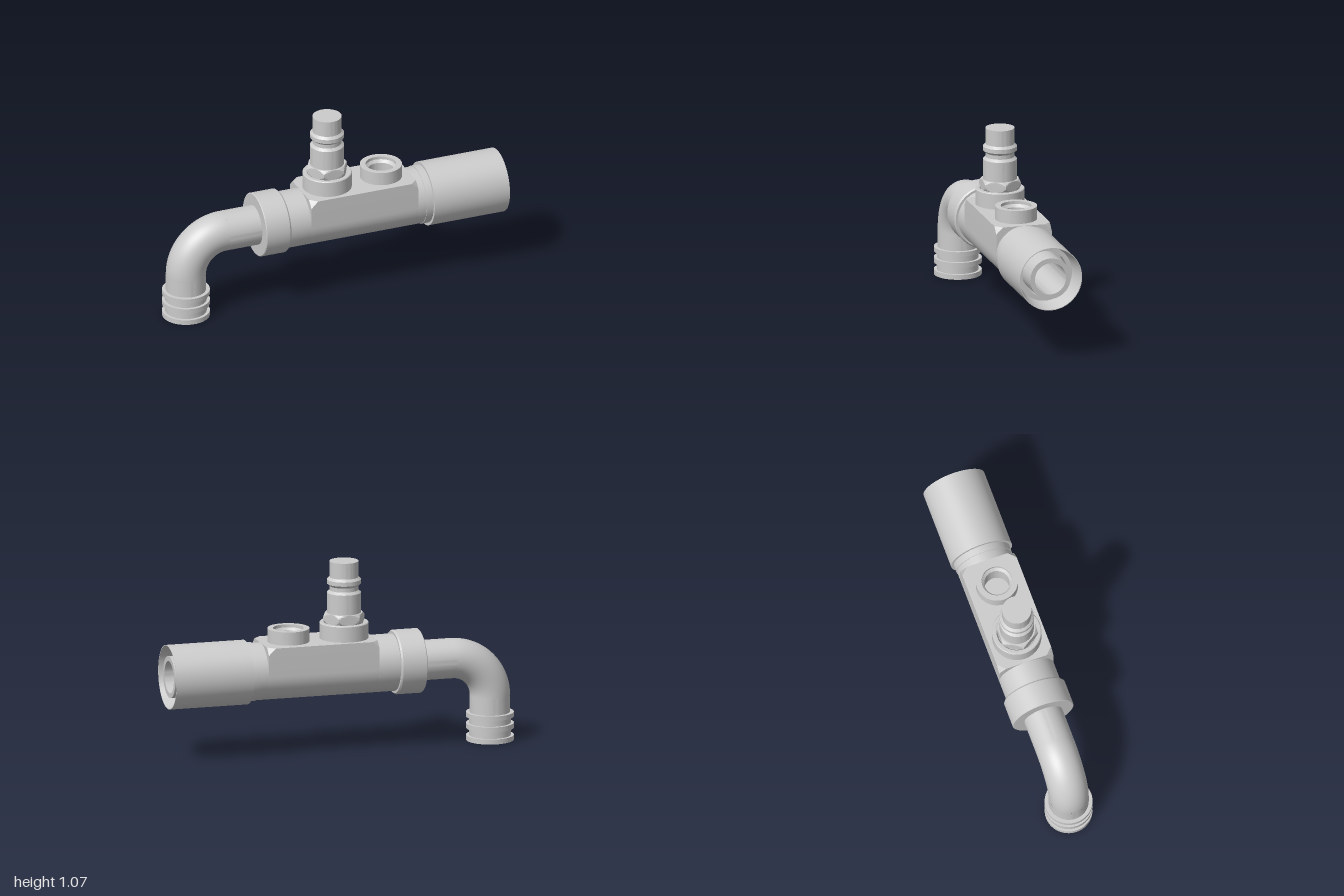
import * as THREE from 'three';
import { toCreasedNormals } from 'three/addons/utils/BufferGeometryUtils.js';

const AXIS = 0.477; // height of the main bore
const BORE = 0.09;
const HALF = 0.16; // half width of the valve body

const grey = new THREE.MeshStandardMaterial({ color: 0xcccccc });
const greyInside = new THREE.MeshStandardMaterial({ color: 0xcccccc, side: THREE.BackSide });

export function createModel() {
  const model = new THREE.Group();

  const add = (name, geometry, x = 0, y = 0, material = grey) => {
    const mesh = new THREE.Mesh(geometry, material);
    mesh.name = name;
    mesh.position.set(x, y, 0);
    model.add(mesh);
    return mesh;
  };
  // Profile of [radius, height] pairs, turned about the y axis
  const turned = (profile, segments = 72) =>
    new THREE.LatheGeometry(profile.map(([r, h]) => new THREE.Vector2(r, h)), segments);
  const lathe = (name, profile, x, y) => add(name, toCreasedNormals(turned(profile), 0.5), x, y);
  const latheAlongX = (name, profile) => {
    lathe(name, profile, 0, AXIS).rotation.z = -Math.PI / 2;
  };

  // Inlet pipe running into the stepped collar
  latheAlongX('inletCollar', [
    [0.112, -0.645], [0.112, -0.455], [0.176, -0.455], [0.18, -0.451],
    [0.18, -0.314], [0.173, -0.305], [HALF, -0.305], [HALF, -0.18],
  ]);

  // Outlet sleeve with an inner tube, continuing into the through bore
  latheAlongX('outletSleeve', [
    [HALF, 0.46], [HALF, 0.51], [0.164, 0.51], [0.164, 0.55], [0.18, 0.55], [0.18, 1],
    [0.176, 1], [0.156, 0.88], [0.13, 0.88], [0.13, 0.8], [0.117, 0.8],
    [0.117, 0.99], [BORE, 0.99], [BORE, -0.645],
  ]);

  // Quarter bend, outer skin and bore
  for (const [name, radius, material] of [['elbow', 0.112, grey], ['elbowBore', BORE, greyInside]]) {
    const bend = new THREE.TorusGeometry(0.222, radius, 48, 36, Math.PI / 2);
    add(name, bend.rotateZ(Math.PI / 2), -0.645, 0.255, material);
  }

  // Ribbed spout end
  lathe('ribbedSpout', [
    [BORE, 0.255], [BORE, 0], [0.133, 0], [0.133, 0.028], [0.116, 0.028], [0.116, 0.068],
    [0.133, 0.068], [0.133, 0.097], [0.116, 0.097], [0.116, 0.133],
    [0.133, 0.133], [0.133, 0.159], [0.112, 0.159], [0.112, 0.255],
  ], -0.867, 0);

  addBody(add);

  // Open boss with a countersunk well
  lathe('openBoss', [
    [0.117, 0.63], [0.117, 0.712], [0.085, 0.712], [0.085, 0.695], [0.07, 0.68], [0.07, 0.57], [0, 0.57],
  ], 0.3, 0);

  // Boss holding the plug-in nipple
  lathe('nippleBoss', [
    [0.137, 0.63], [0.137, 0.724], [0.133, 0.728], [0.113, 0.728], [0.105, 0.715], [0, 0.715],
  ], -0.022, 0);

  // Hex nut: a chamfered disc cut back to six flats
  const rows = [[0, 0.715], [0.1, 0.715]];
  for (let i = 0; i <= 6; i++) rows.push([0.106 + 0.016 * i / 6, 0.722 + 0.028 * i / 6]);
  for (let i = 0; i <= 6; i++) rows.push([0.122 - 0.018 * i / 6, 0.762 + 0.02 * i / 6]);
  rows.push([0, 0.782]);
  const nut = turned(rows);
  const p = nut.attributes.position;
  for (let i = 0; i < p.count; i++) {
    const x = p.getX(i), z = p.getZ(i), r = Math.hypot(x, z);
    if (r < 1e-6) continue;
    const sector = Math.PI / 3;
    const offset = ((Math.atan2(z, x) + 4 * Math.PI + 1e-7) % sector) - sector / 2;
    const k = Math.min(1, 0.104 / Math.cos(offset) / r);
    p.setX(i, x * k);
    p.setZ(i, z * k);
  }
  add('hexNut', toCreasedNormals(nut, 0.4), -0.022, 0);

  // Nipple with locking ridge
  lathe('nipple', [
    [0.095, 0.77], [0.095, 0.895], [0.08, 0.909], [0.08, 0.932], [0.095, 0.946],
    [0.095, 0.969], [0.081, 0.983], [0.081, 1.073], [0, 1.073],
  ], -0.022, 0);

  return model;
}

// Valve body: round below, square above, its corners turned back to a cone at each end
function addBody(add) {
  const stations = [[-0.18, 0.2], [-0.16, 0.213], [-0.14, 0.2262], [0.42, 0.2262], [0.44, 0.213], [0.46, 0.2]];
  const ARC = 8, ROUND = 32;
  const flat = r => Math.sqrt(r * r - HALF * HALF);

  // Closed [z, y] outline, the square clipped by a circle of radius r
  const section = r => {
    const pts = [[HALF, 0]];
    const a = Math.atan2(flat(r), HALF);
    for (const start of [a, Math.PI / 2 + a]) {
      for (let i = 0; i <= ARC; i++) {
        const t = start + (Math.PI / 2 - 2 * a) * i / ARC;
        pts.push([r * Math.cos(t), r * Math.sin(t)]);
      }
    }
    for (let i = 0; i < ROUND; i++) {
      const t = Math.PI + Math.PI * i / ROUND;
      pts.push([HALF * Math.cos(t), HALF * Math.sin(t)]);
    }
    return pts;
  };

  const positions = [], index = [];
  const n = section(0.2).length;
  stations.forEach(([x, r], s) => {
    for (const [z, y] of section(r)) positions.push(x, y, z);
    if (s === 0) return;
    for (let j = 0; j < n; j++) {
      if (j === ARC + 1) continue; // the flat top is a separate plate
      const k = (j + 1) % n, lo = (s - 1) * n, hi = s * n;
      index.push(lo + j, hi + j, hi + k, lo + j, hi + k, lo + k);
    }
  });
  const skin = new THREE.BufferGeometry();
  skin.setAttribute('position', new THREE.Float32BufferAttribute(positions, 3));
  skin.setIndex(index);
  add('valveBody', toCreasedNormals(skin, 0.4), 0, AXIS);

  const plate = (points, holeX, holeR) => {
    const shape = new THREE.Shape(points.map(([a, b]) => new THREE.Vector2(a, b)));
    shape.holes.push(new THREE.Path().absarc(holeX, 0, holeR, 0, Math.PI * 2, true));
    return new THREE.ShapeGeometry(shape, 32);
  };

  // End faces, open for the bore
  for (const [x, side] of [[-0.18, -1], [0.46, 1]]) {
    add('bodyEnd', plate(section(0.2), 0, 0.15).rotateY(side * Math.PI / 2), x, AXIS);
  }

  // Top face, open under the well
  const edge = stations.map(([x, r]) => [x, flat(r)]);
  const outline = [...edge.map(([x, z]) => [x, -z]), ...edge.reverse()];
  add('bodyTop', plate(outline, 0.3, 0.1).rotateX(-Math.PI / 2), 0, AXIS + HALF);
}
